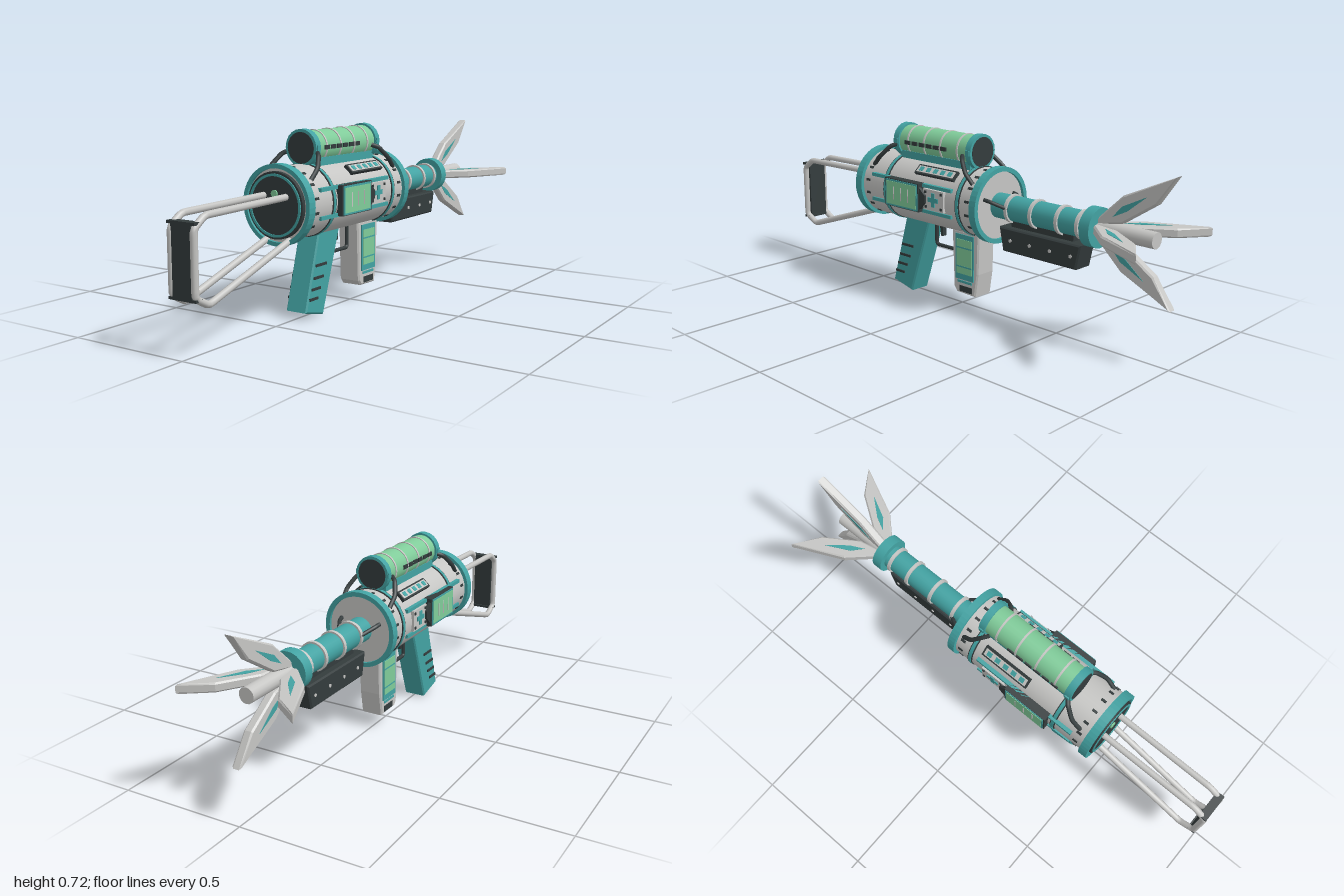
import * as THREE from 'three';

export function createModel() {
  const model = new THREE.Group();
  const mat = (name, color) => {
    const m = new THREE.MeshStandardMaterial({ color });
    m.name = name;
    return m;
  };
  const teal = mat('teal', 0x43a3a3);
  const light = mat('light grey', 0xc6c6c4);
  const dark = mat('charcoal', 0x343c3d);
  const green = mat('glowing green', 0x80cc9a);
  const AXIS = 0.455; // height of body and barrel axis
  const SCOPE = 0.653; // height of canister axis

  const add = (name, geo, m, parent = model) => {
    const mesh = new THREE.Mesh(geo, m);
    mesh.name = name;
    parent.add(mesh);
    return mesh;
  };
  // cylinder lying along z, from z0 to z1
  const cyl = (name, m, r, z0, z1, y = AXIS, seg = 24) => {
    const g = new THREE.CylinderGeometry(r, r, Math.abs(z1 - z0), seg).rotateX(Math.PI / 2);
    return add(name, g.translate(0, y, (z0 + z1) / 2), m);
  };
  const box = (name, m, w, h, d, x, y, z, parent = model) =>
    add(name, new THREE.BoxGeometry(w, h, d).translate(x, y, z), m, parent);
  // slab with a side outline given as [z, y] points, centred on x = 0
  const slab = (name, m, pts, width, bevel = 0, parent = model) => {
    const shape = new THREE.Shape(pts.map(p => new THREE.Vector2(p[0], p[1])));
    const g = new THREE.ExtrudeGeometry(shape, {
      depth: width - 2 * bevel, bevelEnabled: bevel > 0, bevelThickness: bevel,
      bevelSize: bevel, bevelOffset: -bevel, bevelSegments: 1,
    });
    return add(name, g.translate(0, 0, bevel - width / 2).rotateY(-Math.PI / 2), m, parent);
  };
  // tube of straight runs through [x, y, z] points, with small rounded corners
  const pipe = (name, m, pts, r, closed = false) => {
    const v = pts.map(p => new THREE.Vector3(...p));
    const path = new THREE.CurvePath();
    for (let i = 0; i < v.length - 1; i++) {
      const len = v[i].distanceTo(v[i + 1]);
      const a = i === 0 ? v[i] : v[i].clone().lerp(v[i + 1], Math.min(0.3, 0.015 / len));
      const last = i === v.length - 2;
      const b = last ? v[i + 1] : v[i + 1].clone().lerp(v[i], Math.min(0.3, 0.015 / len));
      path.add(new THREE.LineCurve3(a, b));
      if (!last) {
        const n = v[i + 1].distanceTo(v[i + 2]);
        const c = v[i + 1].clone().lerp(v[i + 2], Math.min(0.3, 0.015 / n));
        path.add(new THREE.QuadraticBezierCurve3(b, v[i + 1], c));
      }
    }
    return add(name, new THREE.TubeGeometry(path, 80, r, 8, closed), m);
  };

  // main body drum
  cyl('bodyDrum', light, 0.138, -0.2, 0.48, AXIS, 32);
  const rim = (name, m, outer, inner, z0, z1) => {
    const s = new THREE.Shape().absarc(0, 0, outer, 0, Math.PI * 2);
    s.holes.push(new THREE.Path().absarc(0, 0, inner, 0, Math.PI * 2, true));
    const g = new THREE.ExtrudeGeometry(s, { depth: z1 - z0, bevelEnabled: false, curveSegments: 24 });
    add(name, g.translate(0, AXIS, z0), m);
  };
  rim('frontRim', teal, 0.152, 0.136, 0.455, 0.492);
  rim('rearRim', teal, 0.152, 0.134, -0.212, -0.18);
  for (const z of [0.315, -0.105]) {
    cyl('bodyBand', teal, 0.143, z - 0.007, z + 0.007, AXIS, 32);
    cyl('bandSeam', dark, 0.1415, z - 0.011, z + 0.011, AXIS, 32);
  }
  // rows of small slots around both ends of the drum
  for (const z of [0.425, -0.155]) for (let i = 0; i < 16; i++) {
    const a = (i + 0.5) * Math.PI / 8;
    const slot = box('rimSlot', dark, 0.01, 0.008, 0.022, 0, 0, 0);
    slot.position.set(Math.sin(a) * 0.137, AXIS + Math.cos(a) * 0.137, z);
    slot.rotation.z = -a;
  }
  // front plate
  cyl('frontPlate', dark, 0.125, 0.47, 0.497, AXIS, 32);
  rim('frontPlateRing', teal, 0.117, 0.108, 0.49, 0.501);
  cyl('frontLamp', green, 0.014, 0.49, 0.503, 0.499, 16);

  // canister on top
  cyl('canisterGlass', green, 0.063, -0.1, 0.32, SCOPE);
  for (const z of [0.255, 0.16, 0.065, -0.03]) cyl('canisterBand', light, 0.066, z - 0.004, z + 0.004, SCOPE);
  for (const [z0, z1, c] of [[0.305, 0.335, 0.337], [-0.11, -0.082, -0.112]]) {
    cyl('canisterCap', teal, 0.071, z0, z1, SCOPE, 20);
    cyl('canisterEnd', dark, 0.06, (z0 + z1) / 2, c, SCOPE, 20);
  }
  box('canisterSaddle', teal, 0.1, 0.03, 0.4, 0, 0.597, 0.11);

  // barrel and muzzle
  cyl('barrel', teal, 0.05, -0.2, -0.66);
  for (const z of [-0.28, -0.4, -0.525, -0.62]) cyl('barrelRing', light, 0.057, z - 0.007, z + 0.007);
  cyl('muzzleCollar', teal, 0.075, -0.647, -0.69);
  cyl('muzzleTip', light, 0.03, -0.68, -0.925, AXIS, 16);

  // four muzzle petals with inlays
  for (let i = 0; i < 4; i++) {
    const petal = new THREE.Group();
    petal.name = 'muzzlePetal';
    petal.position.y = AXIS;
    petal.rotation.z = i * Math.PI / 2;
    model.add(petal);
    slab('petalBlade', light, [[-0.68, 0.015], [-0.68, 0.035], [-0.79, 0.138], [-1, 0.235],
      [-0.926, 0.127], [-0.79, 0.037]].reverse(), 0.036, 0.006, petal);
    slab('petalInlay', teal, [[-0.75, 0.055], [-0.79, 0.1], [-0.89, 0.15], [-0.81, 0.085]].reverse(), 0.039, 0, petal);
  }

  // hand guard below the barrel
  slab('handGuard', dark, [[-0.24, 0.385], [-0.26, 0.29], [-0.615, 0.29], [-0.635, 0.385]].reverse(), 0.09, 0.006);
  box('handGuardMount', dark, 0.03, 0.05, 0.3, 0, 0.395, -0.43);

  // grip
  slab('grip', teal, [[0.285, 0.34], [0.375, 0.03], [0.26, 0.003], [0.145, 0.34]], 0.096, 0.006);
  // trigger guard and trigger
  pipe('triggerGuard', dark, [[0, 0.34, 0.15], [0, 0.225, 0.15], [0, 0.225, 0.025], [0, 0.34, 0.025]], 0.008);
  slab('trigger', dark, [[0.125, 0.33], [0.115, 0.27], [0.105, 0.27], [0.105, 0.33]], 0.02);

  // magazine
  slab('magazine', light, [[0.015, 0.33], [0.005, 0.085], [-0.01, 0.065], [-0.115, 0.062], [-0.13, 0.16], [-0.135, 0.33]], 0.094, 0.006);
  box('magazineClip', dark, 0.098, 0.025, 0.07, 0, 0.085, -0.065);

  // stock butt plate between the two rails
  box('buttPlate', dark, 0.085, 0.25, 0.028, 0, 0.334, 0.978);
  for (const y of [0.208, 0.461]) box('buttPlateCap', dark, 0.12, 0.01, 0.034, 0, y, 0.975);

  // everything mirrored left and right
  for (const s of [1, -1]) {
    pipe('stockRail', light, [[s * 0.05, 0.49, 0.47], [s * 0.05, 0.482, 0.93], [s * 0.05, 0.445, 0.983],
      [s * 0.05, 0.215, 0.983], [s * 0.05, 0.182, 0.92], [s * 0.05, 0.33, 0.47]], 0.013);

    // grip slots, guard bolts
    [[0.278, 0.204], [0.295, 0.157], [0.312, 0.115], [0.328, 0.078]].forEach(([z, y], i) =>
      box('gripSlot', dark, 0.008, 0.01, 0.068 - i * 0.005, s * 0.049, y, z));
    for (const z of [-0.3, -0.397, -0.495, -0.592])
      add('guardBolt', new THREE.CylinderGeometry(0.007, 0.007, 0.006, 8).rotateZ(Math.PI / 2).translate(s * 0.045, 0.338, z), light);

    // magazine window
    box('magazineFrame', teal, 0.006, 0.19, 0.1, s * 0.048, 0.22, -0.06);
    box('magazineWindow', green, 0.008, 0.145, 0.084, s * 0.049, 0.222, -0.06);
    for (const y of [0.18, 0.26]) box('magazineMark', teal, 0.009, 0.006, 0.084, s * 0.049, y, -0.06);
    box('magazineStripe', teal, 0.006, 0.01, 0.08, s * 0.047, 0.115, -0.06);

    // side rails on the drum
    for (const y of [0.51, 0.405]) box('sideRail', teal, 0.024, 0.014, 0.47, s * 0.126, y, 0.165);
    // framed side window
    box('windowFrame', dark, 0.04, 0.116, 0.2, s * 0.139, 0.459, 0.192);
    box('windowTrim', teal, 0.006, 0.11, 0.188, s * 0.159, 0.459, 0.192);
    box('windowGlass', green, 0.006, 0.096, 0.175, s * 0.161, 0.459, 0.192);
    for (const z of [0.15, 0.192, 0.235]) box('windowMark', light, 0.006, 0.055, 0.005, s * 0.1625, 0.459, z);
    slab('windowLatch', dark, [[0.095, 0.505], [0.06, 0.475], [0.06, 0.445], [0.095, 0.41]], 0.012)
      .position.x = s * 0.15;
    // control pad with cross
    box('padPlate', light, 0.03, 0.085, 0.11, s * 0.131, 0.459, 0.02);
    box('padCross', teal, 0.006, 0.056, 0.018, s * 0.147, 0.461, 0.02);
    box('padCross', teal, 0.006, 0.018, 0.056, s * 0.147, 0.461, 0.02);
    for (const z of [-0.025, 0.062]) for (const y of [0.43, 0.49])
      box('padButton', dark, 0.006, 0.01, 0.01, s * 0.147, y, z);

    // tilted vent on the shoulder
    const vent = new THREE.Group();
    vent.name = 'shoulderVent';
    vent.position.set(0, AXIS, 0.05);
    vent.rotation.z = -s * 0.74;
    model.add(vent);
    box('ventFrame', dark, 0.044, 0.02, 0.22, 0, 0.139, 0, vent);
    box('ventPanel', light, 0.03, 0.004, 0.205, 0, 0.149, 0, vent);
    for (let i = 0; i < 5; i++) box('ventSlot', teal, 0.02, 0.005, 0.022, 0, 0.15, -0.08 + i * 0.04, vent);

    // canister side strip
    for (let i = 0; i < 6; i++) box('canisterSlot', dark, 0.008, 0.016, 0.032, s * 0.063, SCOPE, 0.255 - i * 0.042);
    box('canisterStrip', teal, 0.006, 0.006, 0.38, s * 0.05, 0.612, 0.11);

    // cables from canister to drum, and from drum to barrel
    for (const [z, d] of [[0.32, 1], [-0.06, -1]]) {
      pipe('canisterCable', dark, [[s * 0.062, 0.64, z], [s * 0.085, 0.63, z + d * 0.02],
        [s * 0.108, 0.585, z + d * 0.06], [s * 0.105, 0.545, z + d * 0.1]], 0.009);
      box('cableLug', teal, 0.012, 0.02, 0.02, s * 0.068, 0.655, d > 0 ? 0.32 : -0.096);
    }
    pipe('barrelCable', dark, [[s * 0.085, 0.49, -0.195], [s * 0.08, 0.485, -0.225], [s * 0.045, 0.46, -0.285]], 0.008);
  }
  return model;
}
